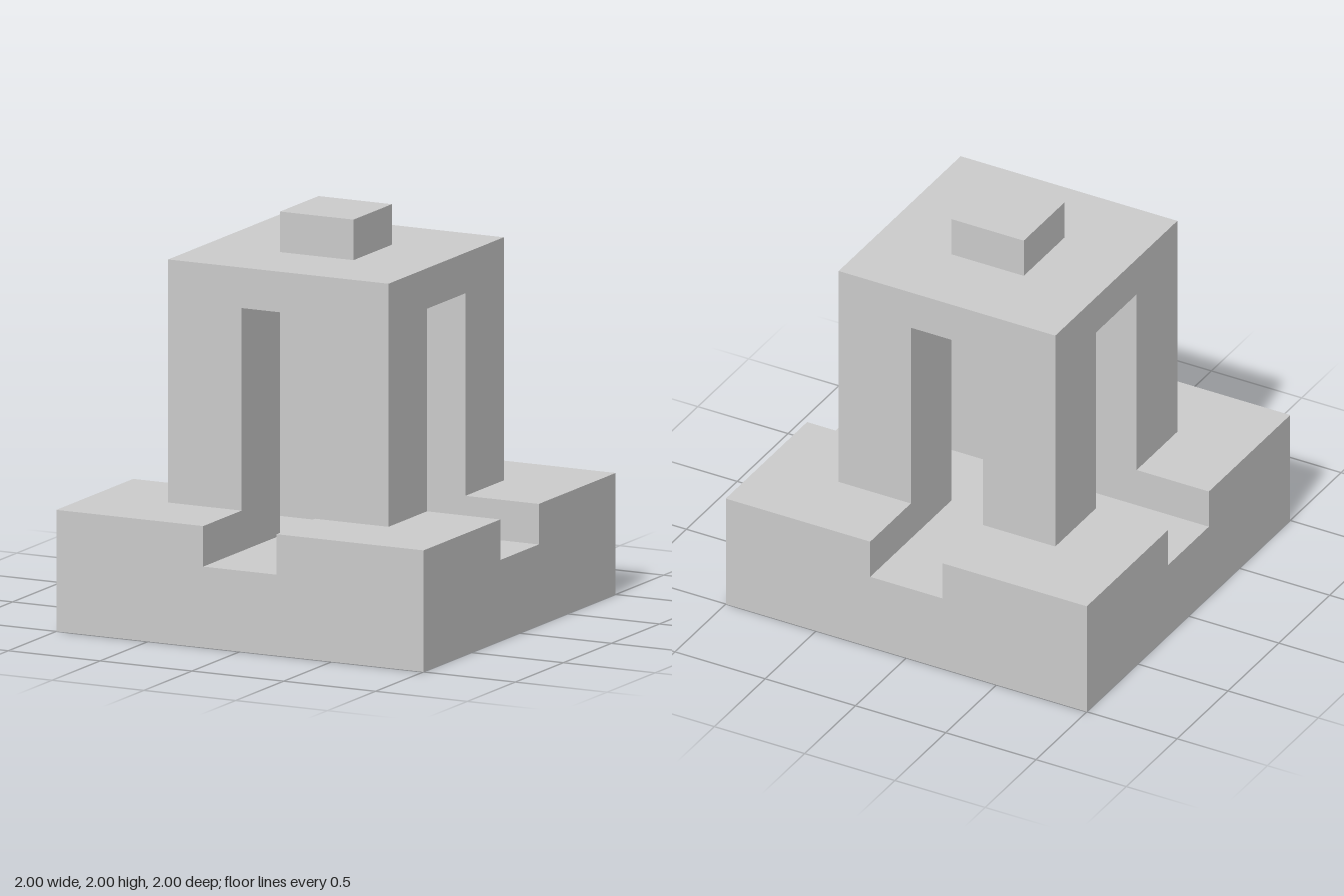
import * as THREE from 'three';

const material = new THREE.MeshStandardMaterial({ color: 0xcccccc, flatShading: true });

// Square block of the given width, spanning bottom to top in y
function block(name, width, bottom, top, x = 0, z = 0) {
  const mesh = new THREE.Mesh(new THREE.BoxGeometry(width, top - bottom, width), material);
  mesh.name = name;
  mesh.position.set(x, (bottom + top) / 2, z);
  return mesh;
}

export function createModel() {
  const model = new THREE.Group();
  model.name = 'pavilion';

  // Base slab, whose top is the floor of the crossing channels
  model.add(block('baseSlab', 2, 0, 0.4));

  // Raised corners leave the channels between them; a pillar stands on each
  for (const sx of [-1, 1]) {
    for (const sz of [-1, 1]) {
      const corner = `${sz > 0 ? 'front' : 'back'}${sx > 0 ? 'Left' : 'Right'}`;
      model.add(block(`${corner}BaseCorner`, 0.8, 0.4, 0.6, sx * 0.6, sz * 0.6));
      model.add(block(`${corner}Pillar`, 0.4, 0.6, 1.6, sx * 0.4, sz * 0.4));
    }
  }

  // Flat roof and the small cap on it
  model.add(block('roof', 1.2, 1.6, 1.8));
  model.add(block('cap', 0.4, 1.8, 2));

  return model;
}
